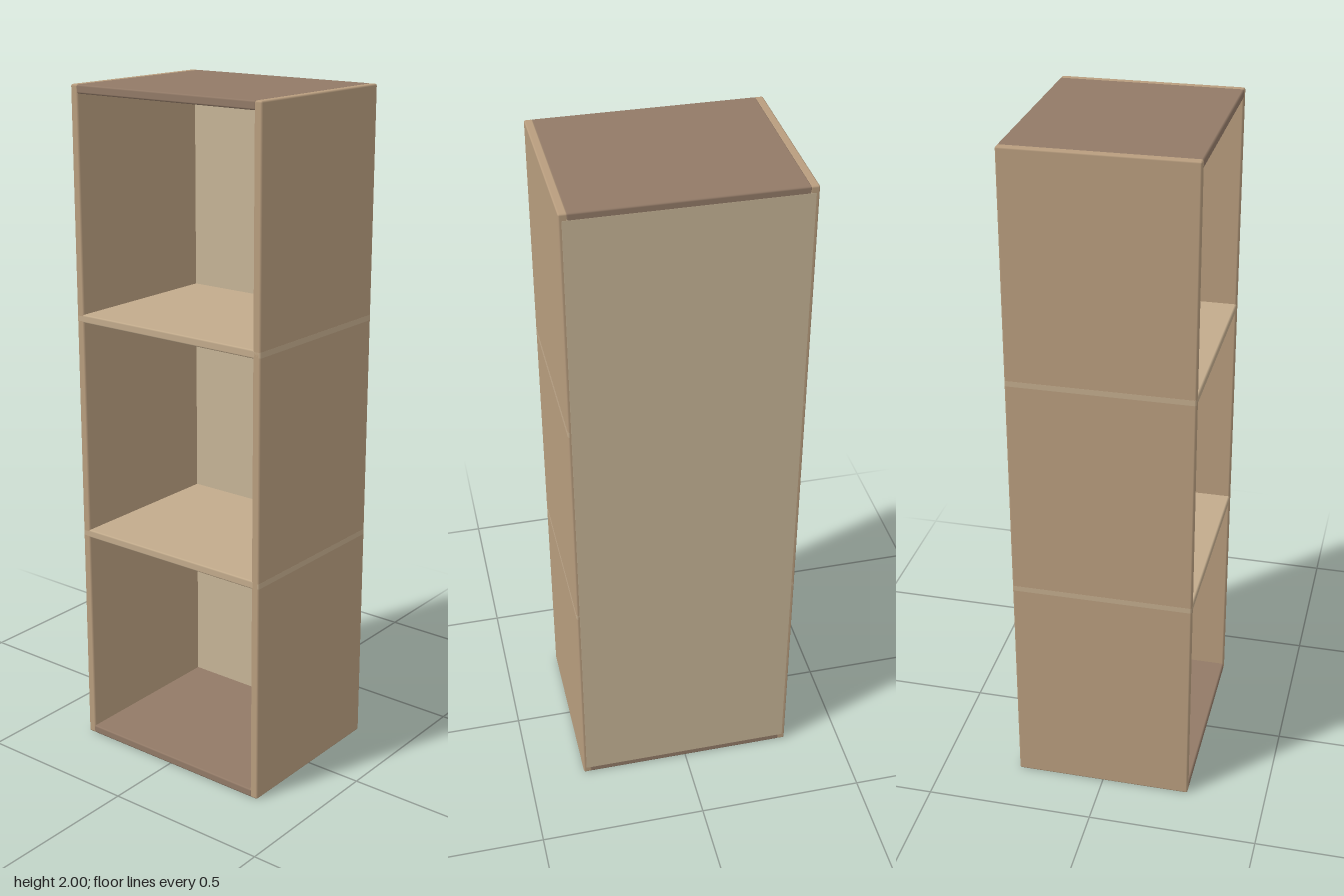
import * as THREE from 'three';
import { RoundedBoxGeometry } from 'three/addons/geometries/RoundedBoxGeometry.js';

const W = 0.66, H = 2, D = 0.53; // overall size
const T = 0.025;                 // board thickness
const BEVEL = 0.005;

const sideWood = new THREE.MeshStandardMaterial({ color: 0xb89d7e });
const darkWood = new THREE.MeshStandardMaterial({ color: 0x927a67 });
const paleWood = new THREE.MeshStandardMaterial({ color: 0xc6b496 });
const shelfWood = new THREE.MeshStandardMaterial({ color: 0xc2ab8c });

// A board with slightly eased edges
function board(name, w, h, d, x, y, z, material) {
  const mesh = new THREE.Mesh(new RoundedBoxGeometry(w, h, d, 1, BEVEL), material);
  mesh.name = name;
  mesh.position.set(x, y, z);
  return mesh;
}

export function createModel() {
  const group = new THREE.Group();
  group.name = 'bookcase';

  // Full-height sides
  for (const [name, s] of [['leftSide', 1], ['rightSide', -1]]) {
    group.add(board(name, T, H, D, s * (W - T) / 2, H / 2, 0, sideWood));
  }

  // Top and bottom boards, let slightly into the sides
  const inner = W - 2 * T + 2 * BEVEL;
  group.add(board('topPanel', inner, T, D, 0, H - T / 2, 0, darkWood));
  group.add(board('bottomPanel', inner, T, D, 0, T / 2, 0, darkWood));

  // Two shelves whose ends show through the sides
  [0.672, 1.337].forEach((y, i) => {
    group.add(board('shelf' + (i + 1), W + 0.0006, T, D, 0, y, 0, shelfWood));
  });

  // Back panel
  group.add(board('backPanel', W - 0.01, H - 0.03, 0.02, 0, H / 2, -D / 2 + 0.0095, paleWood));

  return group;
}
